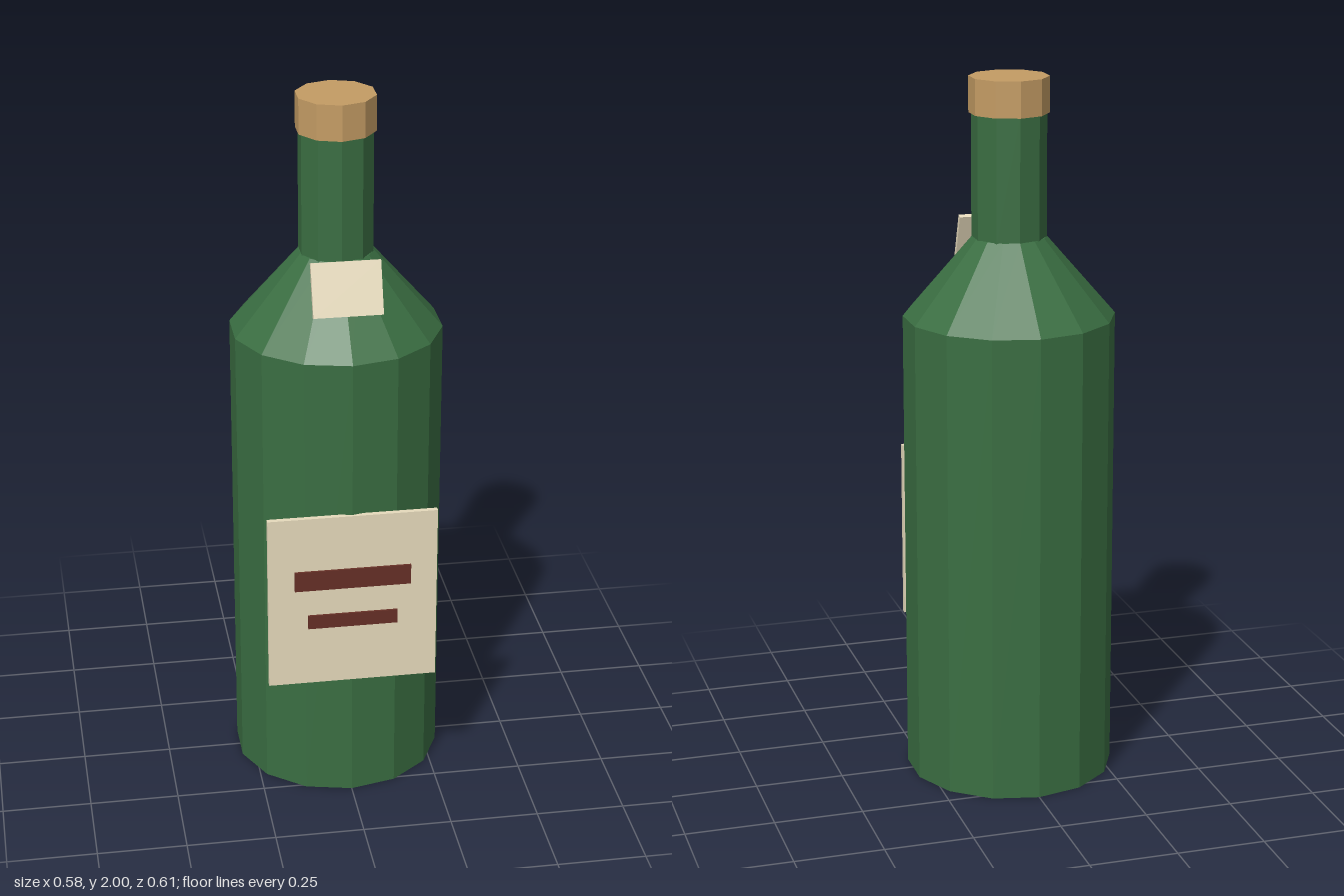
import * as THREE from 'three';

// flat-shaded material: non-indexed geometry with per-face normals keeps facets crisp
function material(name, color) {
  const m = new THREE.MeshStandardMaterial({ color, flatShading: true });
  m.name = name;
  return m;
}

export function createModel() {
  const glass = material('green glass', 0x3a6e42);
  const cork = material('cork', 0xc49c64);
  const paper = material('cream paper', 0xe6dabc);
  const ink = material('dark red ink', 0x662f26);

  const model = new THREE.Group();
  model.name = 'bottle';
  const axisZ = -0.0075;

  function add(name, geometry, mat, x, y, z) {
    const mesh = new THREE.Mesh(geometry, mat);
    mesh.name = name;
    mesh.position.set(x, y, z);
    model.add(mesh);
    return mesh;
  }

  // round section standing between two heights on the bottle axis
  function section(name, mat, rTop, rBottom, y0, y1, sides) {
    return add(name, new THREE.CylinderGeometry(rTop, rBottom, y1 - y0, sides),
      mat, 0, (y0 + y1) / 2, axisZ);
  }

  section('body', glass, 0.296, 0.296, 0, 1.335, 14);
  section('shoulder', glass, 0.104, 0.296, 1.335, 1.557, 14);
  section('neck', glass, 0.104, 0.104, 1.55, 1.905, 10);
  section('stopper', cork, 0.111, 0.111, 1.9, 2, 10);

  // front label with two printed bars
  add('label', new THREE.BoxGeometry(0.474, 0.518, 0.015), paper, 0, 0.63, 0.2885);
  add('upperBar', new THREE.BoxGeometry(0.326, 0.059, 0.007), ink, 0, 0.698, 0.2988);
  add('lowerBar', new THREE.BoxGeometry(0.252, 0.041, 0.007), ink, 0, 0.568, 0.2988);

  // small tag leaning back over the shoulder
  const tag = add('shoulderTag', new THREE.BoxGeometry(0.191, 0.148, 0.015), paper, 0, 1.515, 0.1845);
  tag.rotation.x = -0.35;

  return model;
}
